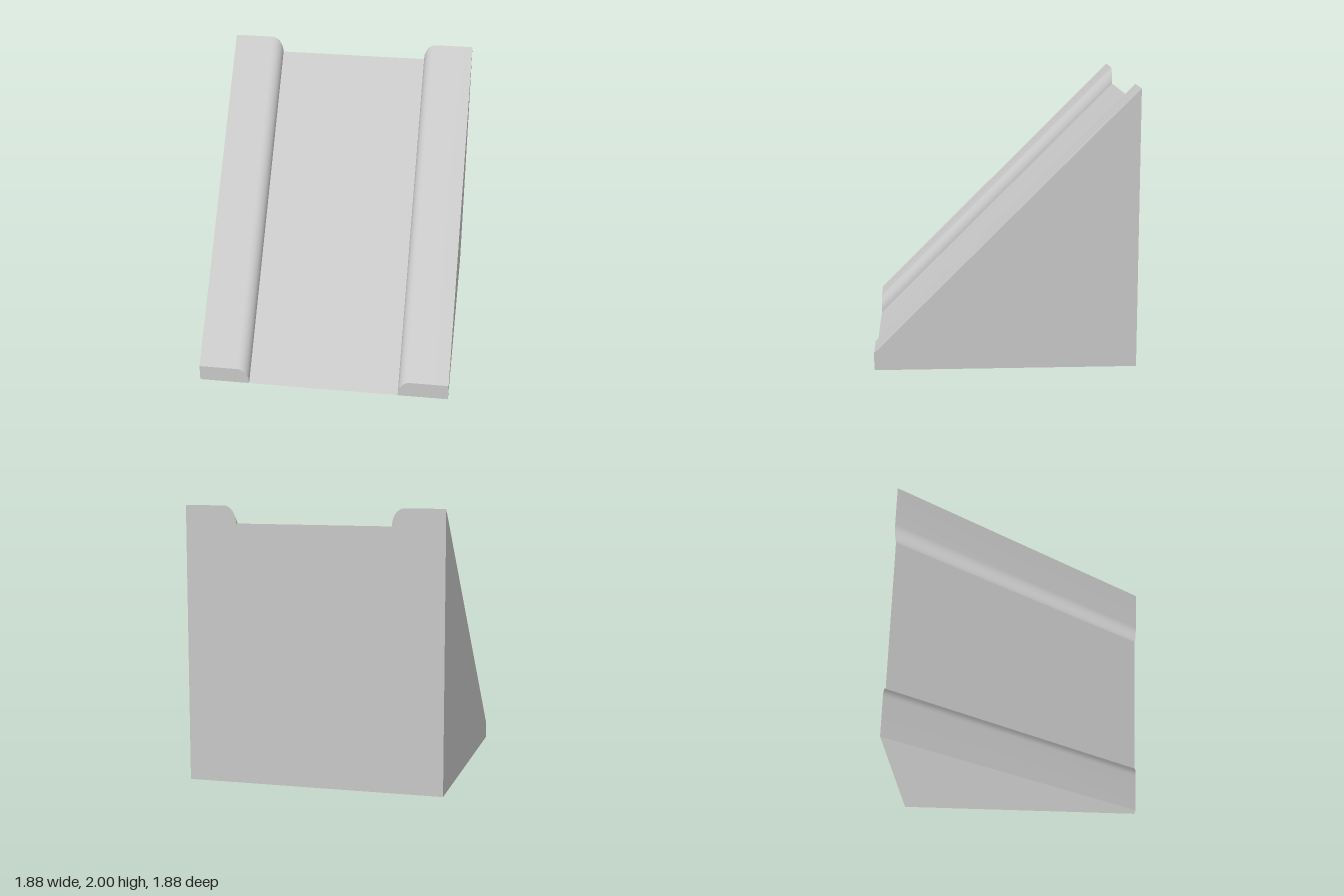
import * as THREE from 'three';
import { toCreasedNormals } from 'three/addons/utils/BufferGeometryUtils.js';

const HALF = 0.9375;   // half width and half depth
const INNER = 0.5625;  // half width of the channel
const RAIL = 0.125;    // rail height above the channel
const ROUND = 0.0884;  // width of the rounded rail edge
const RISE = 1.875;    // climb of the slope from front to back
const STEPS = 10;

// Cross-section heights from left to right: rail, channel, rail
function crossSection() {
  const half = [[INNER, 0]];
  for (let i = 1; i <= STEPS; i++) {
    const a = (i / STEPS) * Math.PI / 2;
    half.push([INNER + ROUND * (1 - Math.cos(a)), RAIL * Math.sin(a)]);
  }
  half.push([HALF, RAIL]);
  const mirrored = half.map(([x, h]) => [-x, h]).reverse();
  return [...mirrored, ...half];
}

function rampGeometry() {
  const pos = [];
  const tri = (a, b, c) => {
    const area = new THREE.Triangle(
      new THREE.Vector3(...a), new THREE.Vector3(...b), new THREE.Vector3(...c)).getArea();
    if (area > 1e-7) pos.push(...a, ...b, ...c);
  };
  const quad = (a, b, c, d) => { tri(a, b, c); tri(a, c, d); };

  const front = ([x, h]) => [x, h, HALF];
  const back = ([x, h]) => [x, h + RISE, -HALF];
  const frontFoot = ([x]) => [x, 0, HALF];
  const backFoot = ([x]) => [x, 0, -HALF];

  const pts = crossSection();
  for (let i = 0; i < pts.length - 1; i++) {
    const p = pts[i], q = pts[i + 1];
    quad(front(p), front(q), back(q), back(p));                 // slope
    quad(frontFoot(p), frontFoot(q), front(q), front(p));       // front lip
    quad(backFoot(q), backFoot(p), back(p), back(q));           // back wall
    quad(backFoot(p), backFoot(q), frontFoot(q), frontFoot(p)); // underside
  }
  const l = pts[0], r = pts[pts.length - 1];
  quad(frontFoot(r), backFoot(r), back(r), front(r));           // side walls
  quad(backFoot(l), frontFoot(l), front(l), back(l));

  const geo = new THREE.BufferGeometry();
  geo.setAttribute('position', new THREE.Float32BufferAttribute(pos, 3));
  return toCreasedNormals(geo, Math.PI / 6);
}

export function createModel() {
  const group = new THREE.Group();
  group.name = 'channelledRamp';
  const grey = new THREE.MeshStandardMaterial({ color: 0xc8c8c8 });
  grey.name = 'lightGrey';
  const ramp = new THREE.Mesh(rampGeometry(), grey);
  ramp.name = 'rampWithSideRails';
  group.add(ramp);
  return group;
}
